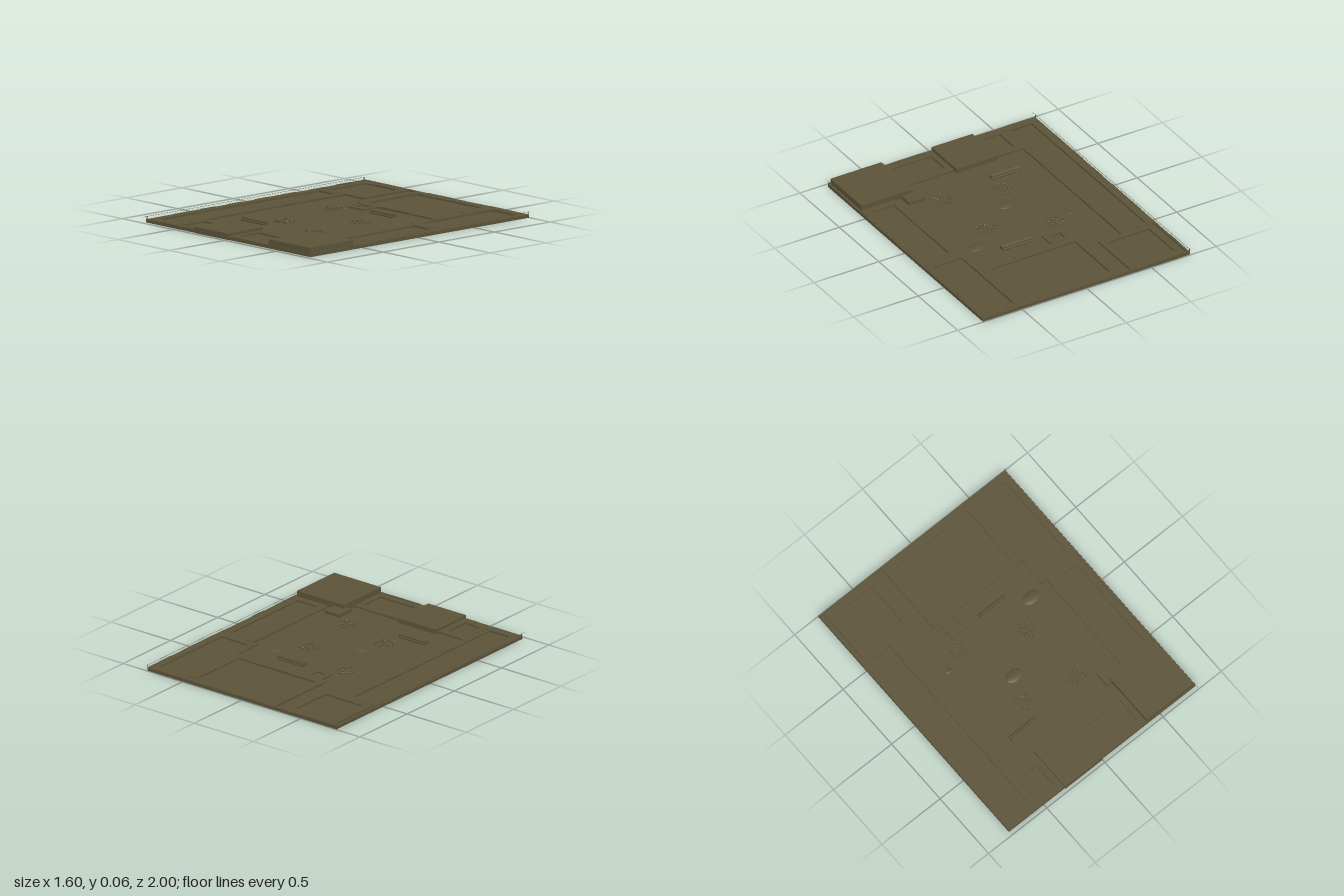
import * as THREE from 'three';

export function createModel() {
  const model = new THREE.Group();
  const earth = new THREE.MeshStandardMaterial({ color: 0x5b5339 });
  earth.name = 'olive earth';
  const shade = new THREE.MeshStandardMaterial({ color: 0x262613 });
  shade.name = 'dark underside';
  const darkBase = [earth, earth, earth, shade, earth, earth];

  let seed = 7;
  const rand = () => (seed = (seed * 16807) % 2147483647) / 2147483647;

  const add = (name, geo, mat, x, y, z, parent = model) => {
    const m = new THREE.Mesh(geo, mat);
    m.name = name;
    m.position.set(x, y, z);
    parent.add(m);
    return m;
  };
  // Box given by its x, y and z ranges, with a dark bottom face by default
  const block = (name, x0, x1, y0, y1, z0, z1, parent = model, mat = darkBase) =>
    add(name, new THREE.BoxGeometry(x1 - x0, y1 - y0, z1 - z0), mat,
      (x0 + x1) / 2, (y0 + y1) / 2, (z0 + z1) / 2, parent);

  // Ground plate
  block('ground', -0.8, 0.8, 0.004, 0.011, -0.985, 0.97, model, earth);

  // Low wall made of stones of slightly uneven height
  const walls = new THREE.Group();
  walls.name = 'plotWalls';
  model.add(walls);
  const wall = (x0, x1, z0, z1) => {
    const alongX = x1 - x0 > z1 - z0;
    const length = alongX ? x1 - x0 : z1 - z0;
    const n = Math.max(1, Math.round(length / 0.12));
    for (let i = 0; i < n; i++) {
      const a = (i / n) * length, b = ((i + 1) / n) * length;
      const h = 0.021 + rand() * 0.004;
      if (alongX) block('wallStone', x0 + a, x0 + b, 0, h, z0, z1, walls);
      else block('wallStone', x0, x1, 0, h, z0 + a, z0 + b, walls);
    }
  };
  // Frame of four walls from outer and inner edges
  const frame = (X0, X1, Z0, Z1, x0, x1, z0, z1) => {
    wall(X0, X1, Z0, z0);
    wall(X0, X1, z1, Z1);
    wall(X0, x0, z0, z1);
    wall(x1, X1, z0, z1);
  };
  frame(-0.765, -0.35, -0.98, -0.57, -0.72, -0.4, -0.93, -0.61);
  frame(-0.27, 0.48, -0.98, -0.44, -0.22, 0.43, -0.93, -0.49);
  frame(0.48, 0.79, -0.98, -0.225, 0.525, 0.75, -0.93, -0.275);
  frame(0.52, 0.785, -0.225, 0.57, 0.565, 0.74, -0.185, 0.52);
  frame(-0.785, -0.53, -0.57, 0.955, -0.74, -0.575, -0.53, 0.91);
  frame(-0.53, -0.32, 0.68, 0.955, -0.49, -0.365, 0.73, 0.91);
  frame(0, 0.39, 0.68, 0.955, 0.04, 0.35, 0.73, 0.91);
  // Hollow well
  frame(-0.225, -0.07, -0.44, -0.31, -0.19, -0.115, -0.415, -0.345);

  // Boundary kerb around the whole plot
  wall(-0.8, -0.785, -0.985, 0.97);
  wall(0.787, 0.802, -0.985, 0.97);
  wall(-0.8, 0.8, -0.995, -0.98);
  wall(-0.8, 0.8, 0.955, 0.97);

  // Flat-roofed buildings
  block('largeBuilding', 0.39, 0.785, 0, 0.06, 0.57, 0.965);
  block('smallBuilding', -0.32, -0.002, 0, 0.043, 0.655, 0.976);
  block('doorstep', 0.35, 0.475, 0, 0.035, 0.475, 0.605);

  // Log piles
  for (const [x, z] of [[0.127, -0.307], [-0.27, 0.482]]) {
    const pile = new THREE.Group();
    pile.name = 'logPile';
    pile.position.set(x, 0, z);
    model.add(pile);
    for (const [y, dz] of [[0.017, -0.016], [0.017, 0], [0.017, 0.016], [0.03, -0.008], [0.03, 0.008]]) {
      const log = add('log', new THREE.CylinderGeometry(0.008, 0.008, 0.222, 8), earth, 0, y, dz, pile);
      log.rotation.z = Math.PI / 2;
    }
  }

  // Low earth mounds with their buried lower halves
  const half = (start) => new THREE.SphereGeometry(1, 24, 8, 0, Math.PI * 2, start, Math.PI / 2);
  for (const [x, z, s] of [[0.365, -0.2, 1], [-0.075, 0.15, 1], [-0.385, -0.15, 0.4]]) {
    add('mound', half(0), earth, x, 0.008, z).scale.set(0.068 * s, 0.013 * Math.sqrt(s), 0.044 * s);
    add('moundBase', half(Math.PI / 2), shade, x, 0.008, z).scale.set(0.068 * s, 0.008 * s, 0.044 * s);
  }

  // Scattered stone heaps
  for (const [x, z] of [[-0.24, -0.205], [0.19, -0.035], [-0.16, 0.32], [0.24, 0.415]]) {
    const heap = new THREE.Group();
    heap.name = 'stoneHeap';
    model.add(heap);
    add('heapBase', new THREE.CylinderGeometry(0.03, 0.03, 0.004, 8), shade, x, 0.003, z, heap);
    for (let i = 0; i < 20; i++) {
      const a = i * 2.4, r = 0.07 * Math.sqrt((i + rand()) / 20);
      const y = 0.014 + rand() * 0.026 * (1 - r / 0.09);
      const stone = add('stone', new THREE.DodecahedronGeometry(0.007 + rand() * 0.003), earth,
        x + r * Math.cos(a), y, z + r * Math.sin(a), heap);
      stone.rotation.set(rand() * 3, rand() * 3, rand() * 3);
    }
  }

  // Fence posts and thin wires
  for (const sx of [-0.8, 0.8]) {
    for (const z of [-0.99, 0.96])
      block('fencePost', sx - 0.002, sx + 0.002, 0, 0.042, z - 0.002, z + 0.002);
    block('sideWire', sx - 0.0007, sx + 0.0007, 0.0385, 0.0399, -1, 1, model, earth);
  }
  return model;
}
